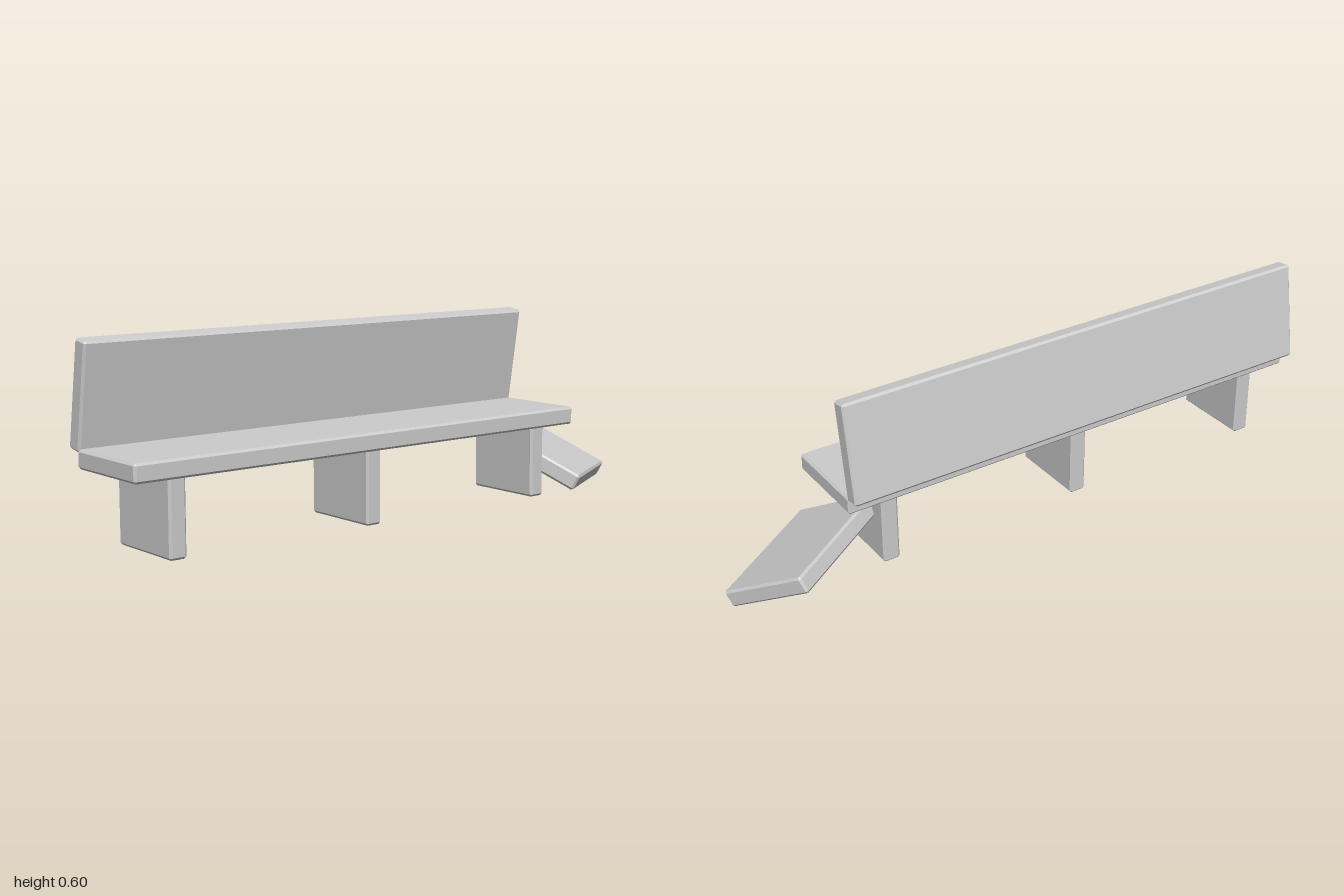
import * as THREE from 'three';
import { ConvexGeometry } from 'three/addons/geometries/ConvexGeometry.js';

const material = new THREE.MeshStandardMaterial({ color: 0xcccccc, flatShading: true });

// Block with every edge cut by a small flat chamfer
function block(name, w, h, d, c = 0.007) {
  const points = [];
  for (const x of [-w / 2, w / 2]) for (const y of [-h / 2, h / 2]) for (const z of [-d / 2, d / 2]) {
    const sx = Math.sign(x) * c, sy = Math.sign(y) * c, sz = Math.sign(z) * c;
    points.push(
      new THREE.Vector3(x, y - sy, z - sz),
      new THREE.Vector3(x - sx, y, z - sz),
      new THREE.Vector3(x - sx, y - sy, z)
    );
  }
  const mesh = new THREE.Mesh(new ConvexGeometry(points), material);
  mesh.name = name;
  return mesh;
}

export function createModel() {
  const model = new THREE.Group();
  model.name = 'brokenBench';

  // Seat plank
  const seat = block('seat', 1.645, 0.056, 0.3);
  seat.position.set(-0.177, 0.265, 0.048);
  model.add(seat);

  // Backrest, tipped forward
  const backrest = block('backrest', 1.645, 0.315, 0.055);
  backrest.position.set(-0.177, 0.441, -0.097);
  backrest.rotation.x = THREE.MathUtils.degToRad(9);
  model.add(backrest);

  // Three slab legs
  ['rightLeg', 'middleLeg', 'leftLeg'].forEach((name, i) => {
    const leg = block(name, 0.055, 0.235, 0.265);
    leg.position.set(-0.858 + i * 0.68, 0.13, 0.049);
    model.add(leg);
  });

  // Loose slab leaning against the left leg
  const slab = block('looseSlab', 0.432, 0.055, 0.3);
  const along = new THREE.Vector3(0.845, -0.056, -0.532).normalize();
  const up = along.clone().cross(new THREE.Vector3(-0.452, 0.452, -0.77)).normalize();
  const across = along.clone().cross(up);
  slab.quaternion.setFromRotationMatrix(new THREE.Matrix4().makeBasis(along, up, across));
  slab.position.set(0.748, 0.1, 0);
  model.add(slab);

  return model;
}
